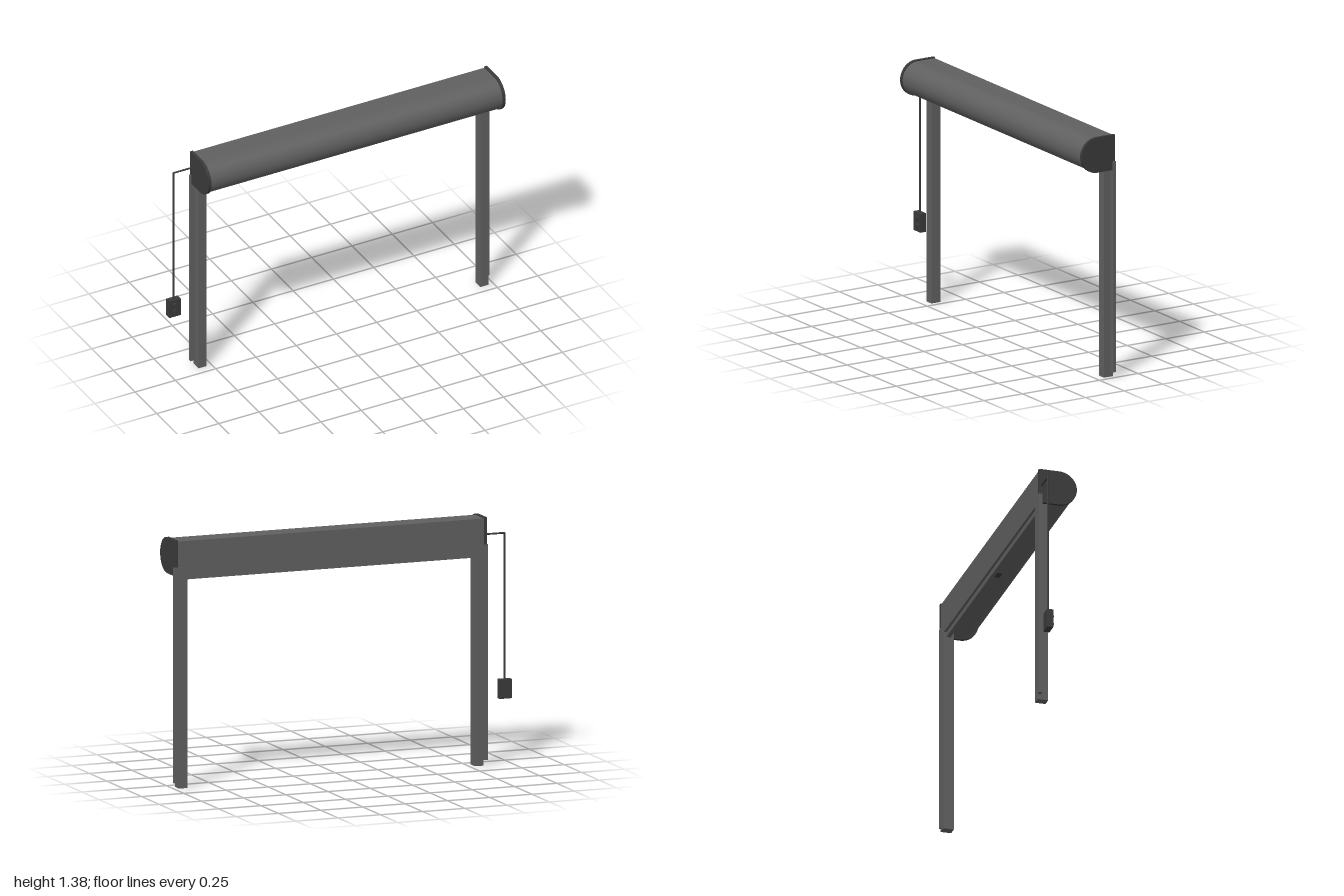
import * as THREE from 'three';
import { toCreasedNormals } from 'three/addons/utils/BufferGeometryUtils.js';

const CENTER = 0.07; // middle of the shutter between the two posts

export function createModel() {
  const group = new THREE.Group();
  const material = (name, color) => {
    const m = new THREE.MeshStandardMaterial({ color });
    m.name = name;
    return m;
  };
  const grey = material('frame grey', 0x606060);
  const dark = material('dark trim', 0x3a3a3a);

  const add = (name, geometry, mat) => {
    const mesh = new THREE.Mesh(geometry, mat);
    mesh.name = name;
    group.add(mesh);
    return mesh;
  };
  // Box given by its extents on each axis
  const box = (name, mat, [x0, x1], [y0, y1], [z0, z1]) => {
    if (x0 > x1) [x0, x1] = [x1, x0];
    const g = new THREE.BoxGeometry(x1 - x0, y1 - y0, z1 - z0);
    g.translate((x0 + x1) / 2, (y0 + y1) / 2, (z0 + z1) / 2);
    return add(name, g, mat);
  };
  // D-shaped section: flat back, round front, run from x0 to x1
  const dSection = (name, mat, x0, x1, back, radius) => {
    const shape = new THREE.Shape();
    shape.moveTo(back, 1.28 - radius);
    shape.lineTo(0.01, 1.28 - radius);
    shape.absarc(0.01, 1.28, radius, -Math.PI / 2, Math.PI / 2, false);
    shape.lineTo(back, 1.28 + radius);
    shape.closePath();
    const g = new THREE.ExtrudeGeometry(shape, { depth: x1 - x0, bevelEnabled: false, curveSegments: 24 });
    g.rotateY(-Math.PI / 2).translate(x1, 0, 0);
    return add(name, toCreasedNormals(g, 0.5), mat);
  };

  // Roller housing
  dSection('housing', grey, CENTER - 0.906, CENTER + 0.906, -0.104, 0.094);

  for (const s of [-1, 1]) {
    const x = (d) => CENTER + s * d;
    // End cap, guide post and its rear mounting flange
    const a = x(0.905), b = x(0.922);
    dSection('endCap', dark, Math.min(a, b), Math.max(a, b), -0.107, 0.1);
    box('post', grey, [x(0.85), x(0.9)], [0, 1.23], [-0.108, -0.048]);
    box('postFlange', grey, [x(0.9), x(0.928)], [0.03, 1.23], [-0.108, -0.09]);
  }

  // End rail of the rolled-up curtain with its pull handle
  box('bottomRail', grey, [CENTER - 0.85, CENTER + 0.85], [1.157, 1.2], [-0.09, -0.066]);
  box('pullHandle', dark, [0.04, 0.1], [1.155, 1.161], [-0.07, -0.039]);

  // Control cable hanging beside the housing
  const path = new THREE.CurvePath();
  const points = [[-0.85, 1.283], [-0.963, 1.283], [-0.963, 0.46]].map(([x, y]) => new THREE.Vector3(x, y, -0.09));
  for (let i = 0; i < 2; i++) {
    const from = points[i], to = points[i + 1];
    const g = new THREE.CylinderGeometry(0.005, 0.005, from.distanceTo(to), 10);
    if (i === 0) g.rotateZ(Math.PI / 2);
    const mid = from.clone().lerp(to, 0.5);
    g.translate(mid.x, mid.y, mid.z);
    add('cable', g, dark);
  }
  add('cableBend', new THREE.SphereGeometry(0.005, 10, 8).translate(-0.963, 1.283, -0.09), dark);

  // Wall switch with two raised buttons
  box('switchBox', dark, [-1, -0.928], [0.363, 0.47], [-0.106, -0.071]);
  for (const y of [0.395, 0.438]) {
    const g = new THREE.CylinderGeometry(0.014, 0.014, 0.01, 20);
    g.rotateX(Math.PI / 2).translate(-0.964, y, -0.066);
    add('switchButton', g, dark);
  }
  return group;
}
